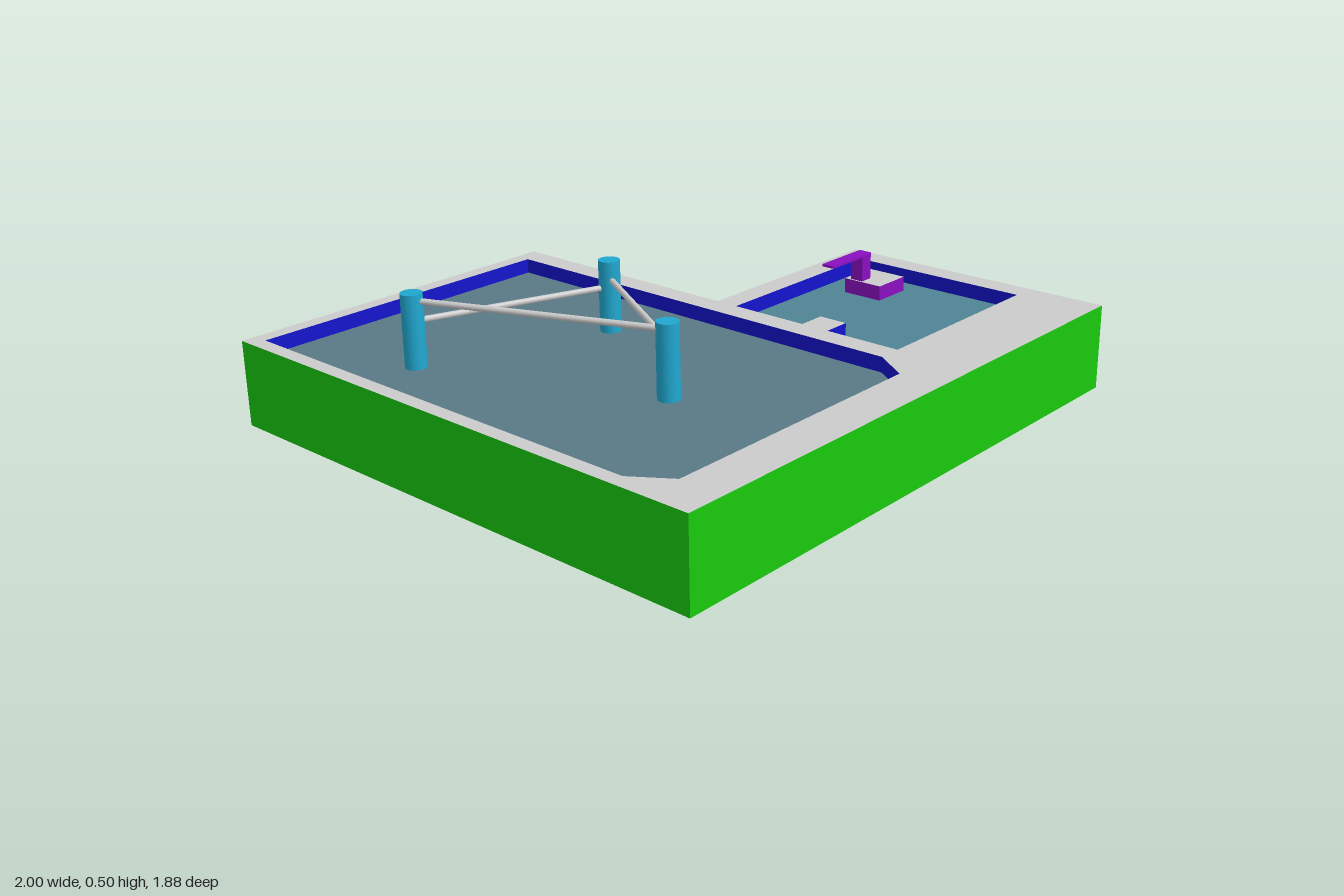
import * as THREE from 'three';

const GREY = 0xcccccc, GREEN = 0x18c80e, BLUE = 0x1414cc, RED = 0x700707;
const CYAN = 0x20a8d0, PURPLE = 0x8a10c0;
const BASE = 0.02, TOP = 0.305, WATER = 0.255;
const mat = color => new THREE.MeshStandardMaterial({ color, side: THREE.DoubleSide });

// outlines as [x, z]
const rect = (x0, z0, x1, z1) => [[x0, z0], [x1, z0], [x1, z1], [x0, z1]];
const OUTER = [[-1, -0.938], [0.24, -0.938], [0.24, -0.05], [1, -0.05], [1, 0.938], [-1, 0.938]];
const MAIN = [[-0.95, -0.885], [0.16, -0.885], [0.16, 0.67], [0.08, 0.79], [-0.87, 0.79], [-0.95, 0.67]];
const SMALL = rect(0.24, 0.03, 0.92, 0.67);
const STEP = rect(0.24, 0.305, 0.335, 0.405);
const ISLAND = rect(0.705, 0.125, 0.845, 0.27);

const toVectors = pts => pts.map(([x, z]) => new THREE.Vector2(x, -z));

export function createModel() {
  const model = new THREE.Group();
  model.name = 'twoBasinPool';
  const body = new THREE.Group();
  body.name = 'slopedPool';
  body.rotation.x = -0.0213;
  body.position.z = 0.003;
  model.add(body);

  const add = (name, geometry, color, x = 0, y = 0, z = 0) => {
    const mesh = new THREE.Mesh(geometry, mat(color));
    mesh.name = name;
    mesh.position.set(x, y, z);
    body.add(mesh);
    return mesh;
  };

  // horizontal sheet bounded by an outline, with optional openings
  const sheet = (name, pts, y, color, holes = [], down = false) => {
    const shape = new THREE.Shape(toVectors(pts));
    shape.holes = holes.map(h => new THREE.Path(toVectors(h)));
    const g = new THREE.ShapeGeometry(shape).rotateX(-Math.PI / 2);
    if (down) {
      const index = g.index.array;
      for (let i = 0; i < index.length; i += 3) [index[i], index[i + 1]] = [index[i + 1], index[i]];
      g.computeVertexNormals();
    }
    return add(name, g, color, 0, y, 0);
  };

  // vertical wall that follows a closed outline
  const wall = (name, pts, y0, y1, color, inward = false) => {
    const pos = [];
    pts.forEach((p, i) => {
      const q = pts[(i + 1) % pts.length];
      const [a, b] = inward ? [p, q] : [q, p];
      pos.push(a[0], y0, a[1], b[0], y0, b[1], b[0], y1, b[1]);
      pos.push(a[0], y0, a[1], b[0], y1, b[1], a[0], y1, a[1]);
    });
    const g = new THREE.BufferGeometry();
    g.setAttribute('position', new THREE.Float32BufferAttribute(pos, 3));
    g.computeVertexNormals();
    return add(name, g, color);
  };

  // shell: outside, coping and underside
  wall('outerWall', OUTER, BASE, TOP, GREEN);
  sheet('coping', OUTER, TOP, GREY, [MAIN, SMALL]);
  sheet('undersideRim', OUTER, BASE, GREEN, [MAIN, SMALL], true);

  // basins
  const basins = [
    ['main', MAIN, BASE + 0.045, 0x5a7a86],
    ['small', SMALL, BASE + 0.08, 0x4f8494],
  ];
  for (const [name, pts, floorY, color] of basins) {
    wall(name + 'BasinWall', pts, BASE, TOP, BLUE, true);
    sheet(name + 'BasinFloor', pts, floorY, RED, [], true);
    sheet(name + 'BasinWater', pts, WATER, color);
  }

  // step and island in the small basin
  wall('stepSides', STEP, BASE + 0.06, TOP, BLUE);
  sheet('stepTop', STEP, TOP, GREY);
  wall('islandFoot', ISLAND, BASE + 0.06, WATER, BLUE);
  wall('islandSides', ISLAND, WATER, TOP, PURPLE);
  sheet('islandTop', ISLAND, TOP, GREY);

  // spout on the island
  add('spoutPost', new THREE.BoxGeometry(0.047, 0.09, 0.047), PURPLE, 0.735, 0.348, 0.168);
  add('spoutPlate', new THREE.BoxGeometry(0.21, 0.008, 0.047), PURPLE, 0.655, 0.393, 0.168);

  // posts standing in the main basin
  const posts = [[-0.71, -0.445], [-0.405, 0.325], [-0.09, -0.22]];
  const postTop = 0.494, postBase = BASE + 0.04;
  for (const [x, z] of posts) {
    add('post', new THREE.CylinderGeometry(0.035, 0.035, postTop - postBase, 24),
      CYAN, x, (postTop + postBase) / 2, z);
  }

  // rails between the posts, each at its own height
  const rails = [[0, 1, 0.469], [1, 2, 0.432], [0, 2, 0.403]];
  for (const [i, j, y] of rails) {
    const a = new THREE.Vector3(posts[i][0], y, posts[i][1]);
    const b = new THREE.Vector3(posts[j][0], y, posts[j][1]);
    const rail = add('rail', new THREE.CylinderGeometry(0.01, 0.01, a.distanceTo(b), 12), GREY);
    rail.position.copy(a).lerp(b, 0.5);
    rail.quaternion.setFromUnitVectors(new THREE.Vector3(0, 1, 0), b.sub(a).normalize());
  }

  // floor drains
  for (const [x, z, r] of [[-0.01, -0.78, 0.03], [-0.33, -0.13, 0.018]]) {
    add('drain', new THREE.CylinderGeometry(r, r, 0.01, 16), CYAN, x, postBase + 0.005, z);
  }

  return model;
}
